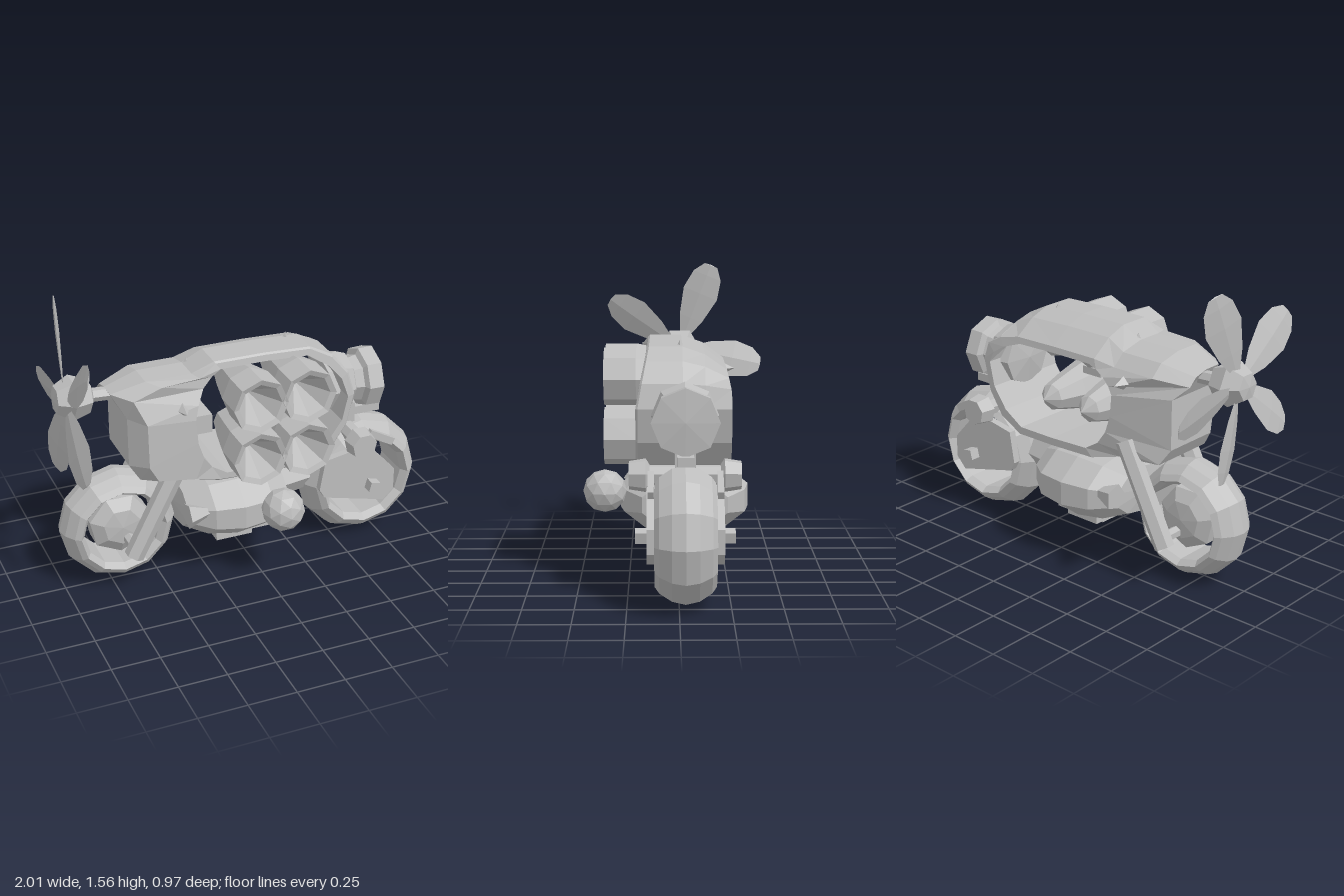
import * as THREE from 'three';

const grey = new THREE.MeshStandardMaterial({ color: 0xbdbdbd, flatShading: true, side: THREE.DoubleSide });
grey.name = 'bare grey';
const MID = -0.03; // centre line of the machine in z

export function createModel() {
  const model = new THREE.Group();

  const add = (name, geo, x = 0, y = 0, z = 0, parent = model) => {
    const m = new THREE.Mesh(geo, grey);
    m.name = name;
    m.position.set(x, y, z);
    parent.add(m);
    return m;
  };
  const box = (name, w, h, d, x, y, z) => add(name, new THREE.BoxGeometry(w, h, d), x, y, z);
  // Turned part from [radius, height] pairs, laid along the chosen axis
  const turned = (pts, sides, axis = 'y') => {
    const g = new THREE.LatheGeometry(pts.map(p => new THREE.Vector2(p[0], p[1])), sides);
    if (axis === 'z') g.rotateX(Math.PI / 2);
    if (axis === 'x') g.rotateZ(-Math.PI / 2);
    return g;
  };

  // Surface skinned over closed loops of equal length
  const skin = (loops) => {
    const n = loops[0].length, idx = [];
    for (let i = 0; i < loops.length; i++) {
      const k = (i + 1) % loops.length;
      for (let j = 0; j < n; j++) {
        const a = i * n + j, b = i * n + (j + 1) % n;
        const c = k * n + (j + 1) % n, d = k * n + j;
        idx.push(a, b, c, a, c, d);
      }
    }
    const g = new THREE.BufferGeometry();
    g.setAttribute('position', new THREE.Float32BufferAttribute(loops.flat(2), 3));
    g.setIndex(idx);
    g.computeVertexNormals();
    return g;
  };

  // Hull: a thick shell around an oval opening that goes right through
  const outer = [
    [0.53, 0.93], [0.5, 1.05], [0.42, 1.15], [0.3, 1.21], [0.05, 1.22], [-0.22, 1.22],
    [-0.33, 1.165], [-0.57, 1.165], [-0.74, 1.11], [-0.67, 0.98], [-0.67, 0.72], [-0.62, 0.64],
    [-0.38, 0.62], [-0.22, 0.58], [0.05, 0.57], [0.28, 0.57], [0.41, 0.64], [0.49, 0.76]];
  const inner = [
    [0.49, 0.92], [0.46, 1.02], [0.39, 1.1], [0.28, 1.17], [0.05, 1.18], [-0.19, 1.18],
    [-0.24, 1.15], [-0.29, 1.1], [-0.33, 1.03], [-0.35, 0.96], [-0.34, 0.83], [-0.31, 0.74],
    [-0.26, 0.67], [-0.18, 0.62], [0.05, 0.61], [0.27, 0.61], [0.38, 0.68], [0.46, 0.79]];
  const taper = x => (x < -0.6 ? 1 - (-0.6 - x) * 2.6 : 1);
  const isNose = x => x < -0.3;
  const front = (x, y) => ((isNose(x) ? 0.232 : 0.21) - Math.max(0, y - 0.95) * 0.22) * taper(x);
  const back = (x, y) => (-0.27 + Math.max(0, y - 1.0) * 0.2) * taper(x);
  const blend = (t, fz) => outer.map(([x, y], i) => {
    const px = x + (inner[i][0] - x) * t, py = y + (inner[i][1] - y) * t;
    return [px, py, fz(px, py)];
  });
  const lowered = (k, fz) => outer.map(([x, y]) => {
    const py = y > 1 ? 1 + (y - 1) * k : y;
    return [x, py, fz(x, py)];
  });
  const backInner = inner.map(([x, y]) => {
    const py = y > 0.93 ? 0.93 + (y - 0.93) * 0.55 : y;
    return [x, py, back(x, py) + 0.01];
  });
  add('hull', skin([
    blend(1, front),
    blend(0.22, front),
    blend(0, (x, y) => front(x, y) * (isNose(x) ? 0.65 : 0.95)),
    blend(0, (x) => -0.02 * taper(x)),
    lowered(0.82, (x) => (isNose(x) ? -0.15 : -0.13) * taper(x)),
    lowered(0.45, (x, y) => back(x, y) * (isNose(x) ? 0.85 : 0.96)),
    backInner,
    blend(1, () => -0.08)]));

  // Four open intake trumpets inside the opening
  const trumpet = turned([[0, 0.16], [0.115, 0.36], [0.145, 0.37], [0.145, 0.21],
    [0.11, 0.05], [0.07, -0.1], [0, -0.16]], 8, 'z');
  for (const [x, y] of [[-0.06, 1.045], [0.2, 1.05], [-0.06, 0.75], [0.2, 0.75]])
    add('intakeTrumpet', trumpet, x, y, 0);
  box('trumpetBridge', 0.12, 0.04, 0.1, 0.055, 0.885, 0.1);
  box('innerBlock', 0.1, 0.1, 0.18, -0.28, 0.88, 0.05);

  // Small studs on the hull
  const stud = new THREE.ConeGeometry(0.035, 0.07, 4);
  add('topStud', stud, 0.23, 1.205, -0.01);
  add('topStud', stud, -0.31, 1.16, -0.01);
  for (const s of [1, -1]) {
    const m = add('sideStud', stud, -0.41, 1.02, s > 0 ? 0.235 : -0.275);
    m.rotation.x = s * Math.PI / 2;
  }

  // Lamp at the +x end
  add('lampCollar', turned([[0, 0.42], [0.15, 0.44], [0.165, 0.53], [0.145, 0.585],
    [0.115, 0.6], [0, 0.6]], 8, 'x'), 0, 0.9, MID);
  add('lamp', turned([[0, 0.56], [0.115, 0.58], [0.13, 0.645], [0.162, 0.66], [0.165, 0.74], [0, 0.755]], 8, 'x'),
    0, 0.895, MID);

  // Propeller, leaning slightly, with five twisted blades
  const propeller = new THREE.Group();
  propeller.name = 'propeller';
  propeller.position.set(-0.94, 1.08, -0.02);
  propeller.rotation.z = -0.05;
  model.add(propeller);
  add('propellerHub', turned([[0, -0.06], [0.07, -0.05], [0.115, 0.03], [0.085, 0.12], [0, 0.15]], 6, 'x'),
    0, 0, 0, propeller);
  add('propellerShaft', turned([[0.035, 0.1], [0.035, 0.3]], 6, 'x'), 0, 0, 0, propeller);
  const blade = turned([[0.015, 0.05], [0.07, 0.18], [0.105, 0.33], [0.085, 0.44], [0.04, 0.5], [0, 0.505]], 4);
  blade.scale(0.1, 1, 1);
  blade.rotateY(-0.3);
  for (const [angle, size] of [[-21, 1], [55, 0.95], [129, 0.94], [198, 0.96], [-102, 0.94]]) {
    const b = add('propellerBlade', blade, 0, 0, 0, propeller);
    b.rotation.x = angle * Math.PI / 180;
    b.scale.y = size;
  }

  // Wheels
  const tyre = [[0.225, -0.11], [0.252, -0.148], [0.285, -0.125], [0.325, -0.065], [0.34, 0],
    [0.325, 0.065], [0.285, 0.125], [0.252, 0.148], [0.225, 0.11], [0.225, -0.11]];
  const scaled = k => tyre.map(([r, h]) => [r * k, h * k]);
  add('propellerSideWheel', turned(scaled(0.905), 12, 'z'), -0.7, 0.33, MID);
  add('lampSideWheel', turned(tyre, 12, 'z'), 0.663, 0.34, MID);
  add('wheelHub', turned([[0, -0.11], [0.1, -0.1], [0.165, -0.06], [0.165, 0.06],
    [0.1, 0.1], [0, 0.11]], 7, 'z'), -0.7, 0.34, MID);

  // Fork legs, axle and crossbar
  for (const s of [1, -1]) {
    const leg = add('forkLeg', new THREE.CylinderGeometry(0.052, 0.052, 0.56, 6), -0.55, 0.47, MID + s * 0.205);
    leg.rotation.z = -0.48;
  }
  add('forkAxle', turned([[0, -0.2], [0.03, -0.2], [0.03, 0.2], [0, 0.2]], 6, 'z'), -0.67, 0.27, MID);
  add('forkBar', turned([[0, -0.2], [0.05, -0.2], [0.05, 0.2], [0, 0.2]], 6, 'z'), -0.43, 0.68, MID);

  // Faceted engine case with ball, side cones and sump
  const engine = turned([[0, -0.29], [0.18, -0.27], [0.26, -0.15], [0.29, 0], [0.27, 0.16],
    [0.19, 0.28], [0, 0.29]], 10, 'x');
  engine.rotateX(Math.PI / 10);
  engine.scale(1, 0.69, 1.21);
  add('engineCase', engine, -0.11, 0.385, -0.035);
  add('engineBall', new THREE.IcosahedronGeometry(0.112, 1), 0.06, 0.44, 0.375);
  for (const s of [1, -1]) {
    const peg = add('sideCone', new THREE.ConeGeometry(0.07, 0.17, 5), -0.315, 0.42, MID + s * 0.25);
    peg.rotation.z = -Math.PI / 2;
    box('sumpFoot', 0.2, 0.05, 0.1, -0.12, 0.22, MID + s * 0.14);
  }
  box('sumpPlate', 0.2, 0.03, 0.2, 0.03, 0.175, MID);
  box('sump', 0.26, 0.08, 0.26, -0.08, 0.22, MID);

  // Swing arm joining the engine to the wheel
  const arm = new THREE.CylinderGeometry(0.085, 0.13, 0.26, 6);
  arm.rotateZ(-Math.PI / 2);
  add('swingArm', arm, 0.23, 0.39, MID);

  // Side plates covering the lamp-side wheel hub
  const plate = new THREE.ExtrudeGeometry(new THREE.Shape([[0.37, 0.36], [0.4, 0.53], [0.62, 0.57],
    [0.7, 0.52], [0.81, 0.4], [0.81, 0.28], [0.75, 0.22], [0.4, 0.31]]
    .map(p => new THREE.Vector2(p[0], p[1]))), { depth: 0.04, bevelEnabled: false });
  for (const s of [1, -1]) {
    add('hubPlate', plate, 0, 0, MID + s * 0.165 - 0.02);
    const bolt = box('hubBolt', 0.055, 0.055, 0.06, 0.67, 0.34, MID + s * 0.21);
    bolt.rotation.z = -0.25;
    box('guardStrip', 0.16, 0.04, 0.03, 0.73, 0.6, MID + s * 0.165).rotation.z = -0.5;
  }

  // Cross tube with end caps, and the mount under the lamp
  add('crossTube', turned([[0, -0.27], [0.07, -0.27], [0.083, -0.19], [0.05, -0.17], [0.05, 0.17],
    [0.083, 0.19], [0.07, 0.27], [0, 0.27]], 7, 'z'), 0.585, 0.62, MID);
  box('lampMount', 0.21, 0.045, 0.08, 0.675, 0.715, MID);
  box('lampNeck', 0.1, 0.12, 0.1, 0.58, 0.71, MID);

  return model;
}
